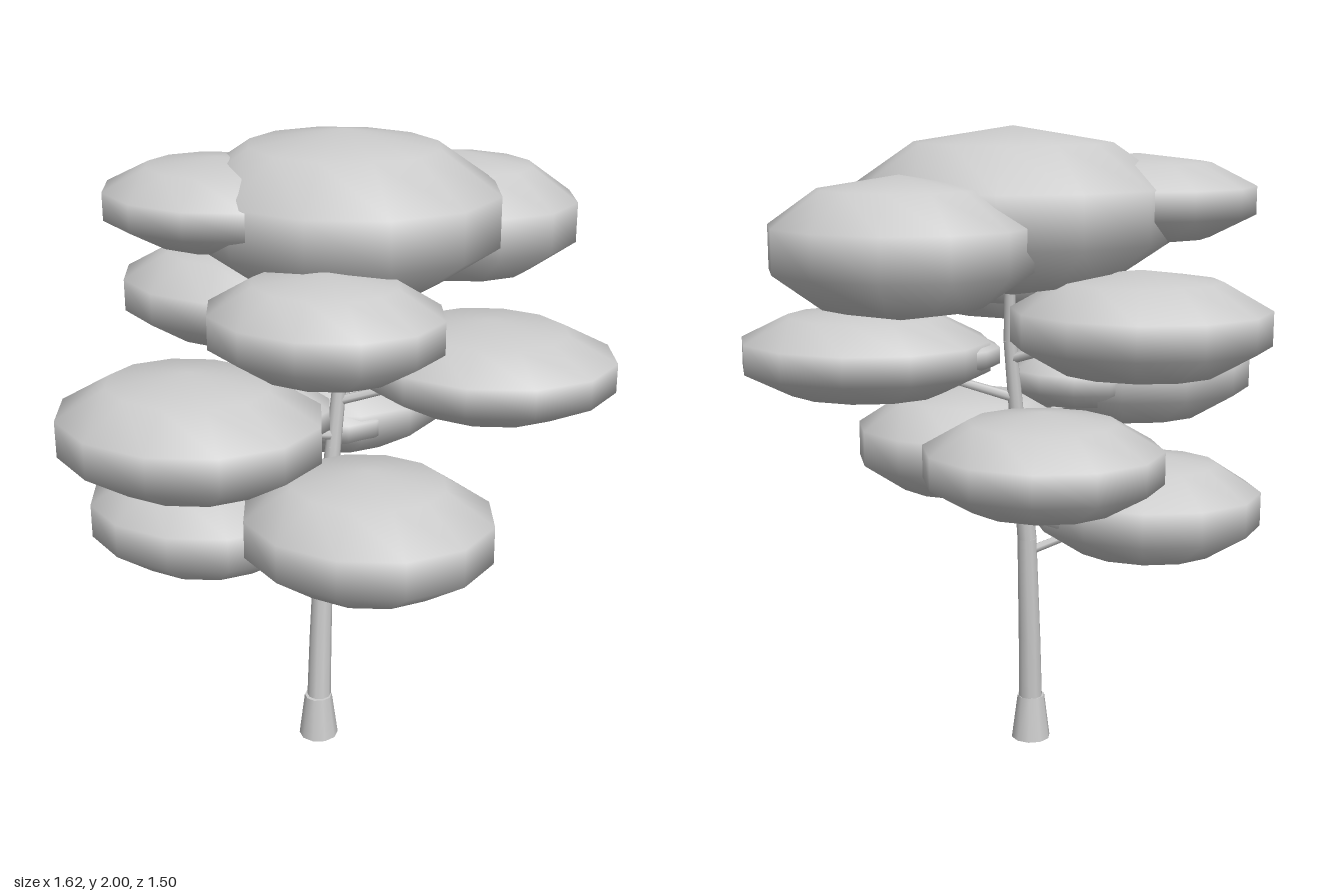
import * as THREE from 'three';

const grey = new THREE.MeshStandardMaterial({ color: 0xcccccc });
grey.name = 'pale grey';

// Trunk centre line: x, y, z, radius
const TRUNK = [
  [-0.082, 0.14, 0.073, 0.039], [-0.08, 0.35, 0.058, 0.036], [-0.073, 0.7, 0.033, 0.031],
  [-0.05, 1.02, 0.004, 0.025], [-0.025, 1.35, -0.03, 0.02], [-0.03, 1.7, -0.08, 0.014],
];

// Foliage pads: centre x, y, z, then half width, height and depth
const PADS = [
  [-0.04, 1.75, -0.09, 0.48, 0.25, 0.413],
  [0.237, 1.674, -0.437, 0.378, 0.203, 0.312],
  [-0.402, 1.78, 0.02, 0.358, 0.137, 0.3],
  [0.42, 1.307, -0.073, 0.39, 0.147, 0.328],
  [0.022, 1.522, 0.32, 0.35, 0.16, 0.285],
  [-0.367, 1.195, 0.405, 0.403, 0.182, 0.342],
  [-0.43, 1.432, -0.22, 0.383, 0.165, 0.32],
  [-0.447, 0.793, 0.134, 0.365, 0.177, 0.305],
  [0.166, 0.932, 0.378, 0.376, 0.189, 0.327],
  [-0.16, 1.043, -0.357, 0.355, 0.157, 0.318],
];

// Five rings of height put the widest rings at sin 72 degrees
const padGeometry = new THREE.SphereGeometry(1, 12, 5);
const RING = Math.sin(Math.PI * 0.4);

function add(group, name, geometry) {
  const mesh = new THREE.Mesh(geometry, grey);
  mesh.name = name;
  group.add(mesh);
  return mesh;
}

// Tapered round limb between two points
function limb(group, name, a, b, r0, r1, sides) {
  const dir = b.clone().sub(a);
  const mesh = add(group, name, new THREE.CylinderGeometry(r1, r0, dir.length(), sides));
  mesh.position.copy(a).addScaledVector(dir, 0.5);
  mesh.quaternion.setFromUnitVectors(new THREE.Vector3(0, 1, 0), dir.normalize());
}

// Point on the trunk centre line at a given height
function trunkAt(y) {
  let i = 0;
  while (i < TRUNK.length - 2 && TRUNK[i + 1][1] < y) i++;
  const [a, b] = [TRUNK[i], TRUNK[i + 1]];
  const t = Math.min(1, Math.max(0, (y - a[1]) / (b[1] - a[1])));
  return new THREE.Vector3(...a).lerp(new THREE.Vector3(...b), t);
}

function foliage(group, name, centre, rx, ry, rz) {
  const mesh = add(group, name, padGeometry);
  mesh.position.copy(centre);
  mesh.scale.set(rx / RING, ry, rz / RING);
}

export function createModel() {
  const tree = new THREE.Group();
  tree.name = 'tree';

  // Flared root and bending trunk
  add(tree, 'rootFlare', new THREE.CylinderGeometry(0.045, 0.064, 0.147, 10))
    .position.set(-0.083, 0.0735, 0.078);
  for (let i = 0; i < TRUNK.length - 1; i++) {
    const [a, b] = [TRUNK[i], TRUNK[i + 1]];
    limb(tree, 'trunk', new THREE.Vector3(...a), new THREE.Vector3(...b), a[3], b[3], 10);
  }

  // Each pad has a branch and, except the crown, a small inner pad towards the trunk
  PADS.forEach(([x, y, z, rx, ry, rz], i) => {
    const centre = new THREE.Vector3(x, y, z);
    foliage(tree, i === 0 ? 'crownFoliage' : 'foliage', centre, rx, ry, rz);
    if (i === 0) return;
    limb(tree, 'branch', trunkAt(y - 0.14), centre, 0.016, 0.009, 6);
    const inner = centre.clone().lerp(trunkAt(y), 0.45).setY(y);
    foliage(tree, 'innerFoliage', inner, rx * 0.55, ry * 0.55, rz * 0.55);
  });
  return tree;
}
